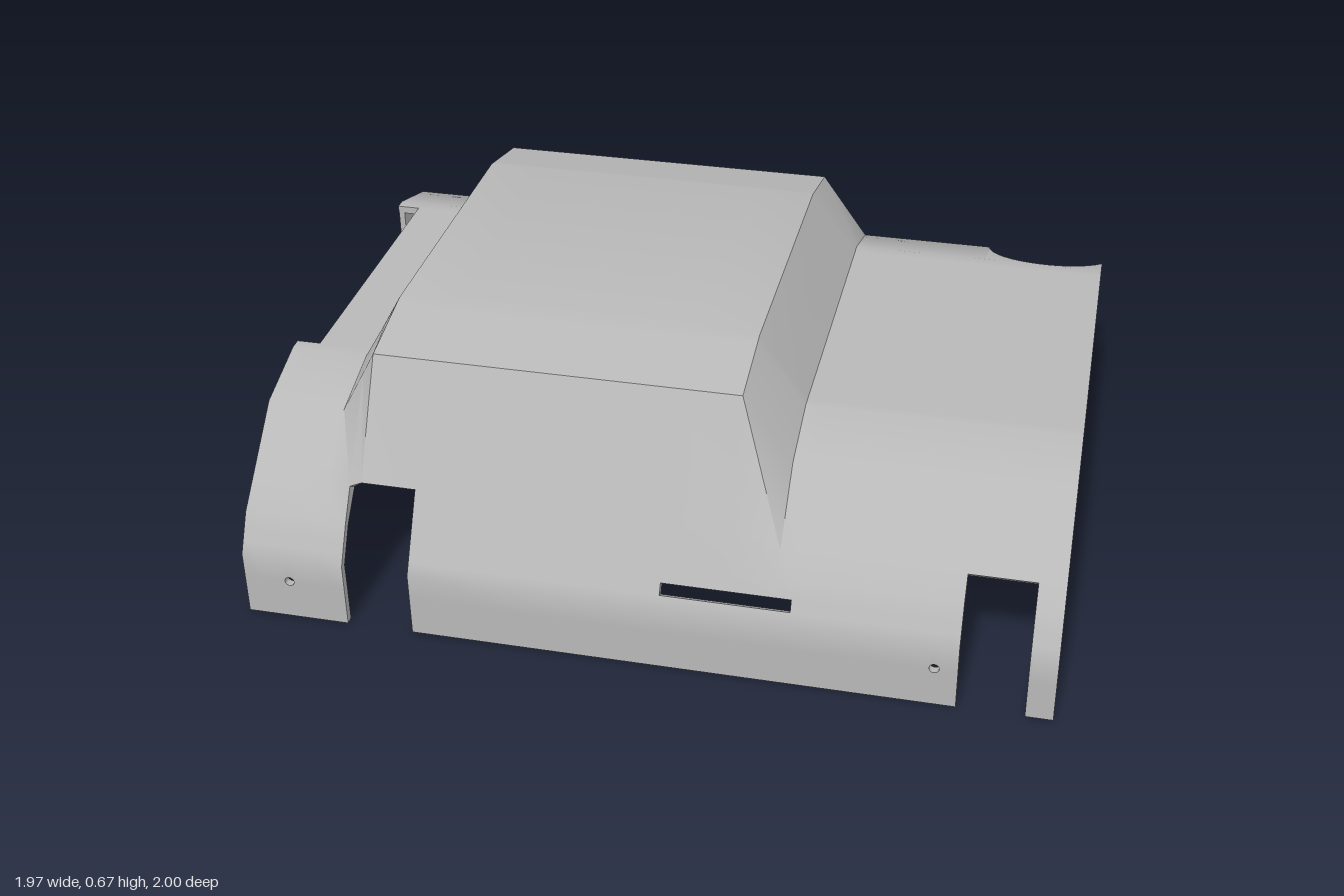
import * as THREE from 'three';
import { toCreasedNormals } from 'three/addons/utils/BufferGeometryUtils.js';

// Section runs over v: v equals z on the roof and continues down both vertical walls
const BACK = -0.65, FRONT = 1, EAVE = 0.17, THICK = 0.02;
const low = [[-0.92, -0.1], [BACK, EAVE], [-0.6, 0.262], [-0.4, 0.455], [-0.23, 0.508],
  [0.58, 0.508], [0.75, 0.455], [0.95, 0.262], [FRONT, EAVE], [1.27, -0.1]];
const high = [[-0.92, -0.1], [BACK, EAVE], [-0.6, 0.262], [-0.4, 0.625], [-0.2, 0.67],
  [0.55, 0.67], [0.75, 0.625], [0.95, 0.262], [FRONT, EAVE], [1.27, -0.1]];
const raise = [[-2, 0], [-0.79, 0], [-0.7, 1], [0.2, 1], [0.32, 0], [2, 0]];

// Rectangular openings: x0, x1, v0, v1
const openings = [
  [-0.73, -0.565, 0.9, 1.17], [0.755, 0.915, 0.9, 1.17],
  [-0.73, -0.565, -0.82, -0.555], [0.755, 0.915, -0.82, -0.56],
  [-0.985, -0.925, -0.2, 0.55],
  [0.05, 0.36, 0.97, 0.984],
  [-0.95, -0.73, -0.7, -0.64], [-0.3, -0.21, -0.665, -0.635],
];
// Round openings: x, v, radius, number of columns
const rounds = [
  [0.835, -0.405, 0.165, 28],
  [-0.87, 1.065, 0.012, 8], [0.7, 1.065, 0.012, 8],
  [-0.87, -0.715, 0.012, 8], [0.7, -0.715, 0.012, 8],
];

function lerpTable(table, t) {
  let i = 1;
  while (i < table.length - 1 && t > table[i][0]) i++;
  const [a, b] = [table[i - 1], table[i]];
  return a[1] + (b[1] - a[1]) * (t - a[0]) / (b[0] - a[0]);
}

function surface(x, v) {
  const l = lerpTable(low, v), h = lerpTable(high, v);
  return new THREE.Vector3(x, l + (h - l) * lerpTable(raise, x), THREE.MathUtils.clamp(v, BACK, FRONT));
}

function innerSurface(x, v) {
  const e = 0.01;
  const dv = surface(x, v + e).sub(surface(x, v - e));
  const dx = surface(x + e, v).sub(surface(x - e, v));
  return surface(x, v).addScaledVector(dv.cross(dx).normalize(), -THICK);
}

const sortedUnique = (list) => list.sort((a, b) => a - b).filter((n, i, s) => i === 0 || n - s[i - 1] > 1e-5);

// Thin folded shell: grid cells outside the openings, an offset lining, and rims on every free edge
function shellGeometry() {
  const xs = [-0.985, -0.79, -0.7, 0.2, 0.32, 0.98];
  const vs = [-0.82, 1.17, ...low.slice(1, -1).map((p) => p[0]), ...high.slice(1, -1).map((p) => p[0])];
  for (const [x0, x1, v0, v1] of openings) { xs.push(x0, x1); vs.push(v0, v1); }
  for (const [cx, cv, r, n] of rounds) {
    vs.push(cv);
    for (let i = 0; i <= n; i++) xs.push(Math.min(0.98, cx - r * Math.cos(Math.PI * i / n)));
  }
  const X = sortedUnique(xs), V = sortedUnique(vs);

  const ids = new Map(), outer = [], inner = [], tris = [], edges = new Map();
  // Vertices inside a round opening slide to its edge
  const vertex = (x, v, mid) => {
    for (const [cx, cv, r] of rounds) {
      const d = r * r - (x - cx) ** 2;
      if (d <= 1e-9) continue;
      v = mid < cv ? Math.min(v, cv - Math.sqrt(d)) : Math.max(v, cv + Math.sqrt(d));
    }
    const key = x.toFixed(5) + ',' + v.toFixed(5);
    if (!ids.has(key)) {
      ids.set(key, outer.length);
      outer.push(surface(x, v));
      inner.push(innerSurface(x, v));
    }
    return ids.get(key);
  };
  const addTri = (a, b, c) => {
    if (a === b || b === c || c === a) return;
    tris.push([a, b, c]);
    for (const [p, q] of [[a, b], [b, c], [c, a]]) edges.set(p + '_' + q, [p, q]);
  };
  for (let i = 0; i < X.length - 1; i++) {
    for (let j = 0; j < V.length - 1; j++) {
      const mx = (X[i] + X[i + 1]) / 2, mv = (V[j] + V[j + 1]) / 2;
      if (openings.some(([x0, x1, v0, v1]) => mx > x0 && mx < x1 && mv > v0 && mv < v1)) continue;
      const a = vertex(X[i], V[j], mv), b = vertex(X[i], V[j + 1], mv);
      const c = vertex(X[i + 1], V[j + 1], mv), d = vertex(X[i + 1], V[j], mv);
      addTri(a, b, c);
      addTri(a, c, d);
    }
  }
  const n = outer.length, index = [];
  for (const [a, b, c] of tris) index.push(a, b, c, a + n, c + n, b + n);
  for (const [p, q] of edges.values()) {
    if (!edges.has(q + '_' + p)) index.push(q, p, p + n, q, p + n, q + n);
  }
  const geometry = new THREE.BufferGeometry().setFromPoints([...outer, ...inner]);
  geometry.setIndex(index);
  return toCreasedNormals(geometry, 0.6);
}

const polygon = (points) => new THREE.Shape(points.map(([x, y]) => new THREE.Vector2(x, y)));

export function createModel() {
  const model = new THREE.Group();
  const grey = new THREE.MeshStandardMaterial({ color: 0xb8b8b8 });
  grey.name = 'plain grey';
  const add = (name, geometry, x = 0, y = 0, z = 0) => {
    const mesh = new THREE.Mesh(geometry, grey);
    mesh.name = name;
    mesh.position.set(x, y, z);
    model.add(mesh);
  };

  add('coverShell', shellGeometry());

  // End plates closing the two corners on one side
  const plate = (name, cut, profile) => {
    const shape = polygon([[cut, 0], ...profile, [cut, 0.5]]);
    const geometry = new THREE.ExtrudeGeometry(shape, { depth: 0.016, bevelEnabled: false });
    add(name, geometry.rotateY(-Math.PI / 2), -0.968);
  };
  plate('frontEndPlate', 0.55, [[0.995, 0], [0.995, 0.168], [0.945, 0.258], [0.745, 0.45], [0.58, 0.5]]);
  plate('backEndPlate', -0.2, [[-0.645, 0], [-0.645, 0.168], [-0.595, 0.258], [-0.395, 0.45], [-0.23, 0.5]]);

  // Bar bridging the gap between the round opening and the back notch
  add('bridgeBar', new THREE.BoxGeometry(0.22, 0.05, 0.035), 0.84, 0.275, -0.5425);

  // Thin arm with a slotted bracket at its end
  const arm = polygon([[-0.37, -0.59], [-0.37, -1], [-0.195, -1], [-0.195, -0.985], [-0.21, -0.985],
    [-0.21, -0.93], [-0.195, -0.93], [-0.195, -0.91], [-0.335, -0.91], [-0.335, -0.59]]);
  arm.holes.push(polygon([[-0.333, -0.98], [-0.322, -0.98], [-0.322, -0.93], [-0.333, -0.93]]));
  const armGeometry = new THREE.ExtrudeGeometry(arm, { depth: 0.03, bevelEnabled: false });
  add('bracketArm', armGeometry.rotateX(Math.PI / 2), 0, 0.29, 0);

  return model;
}
